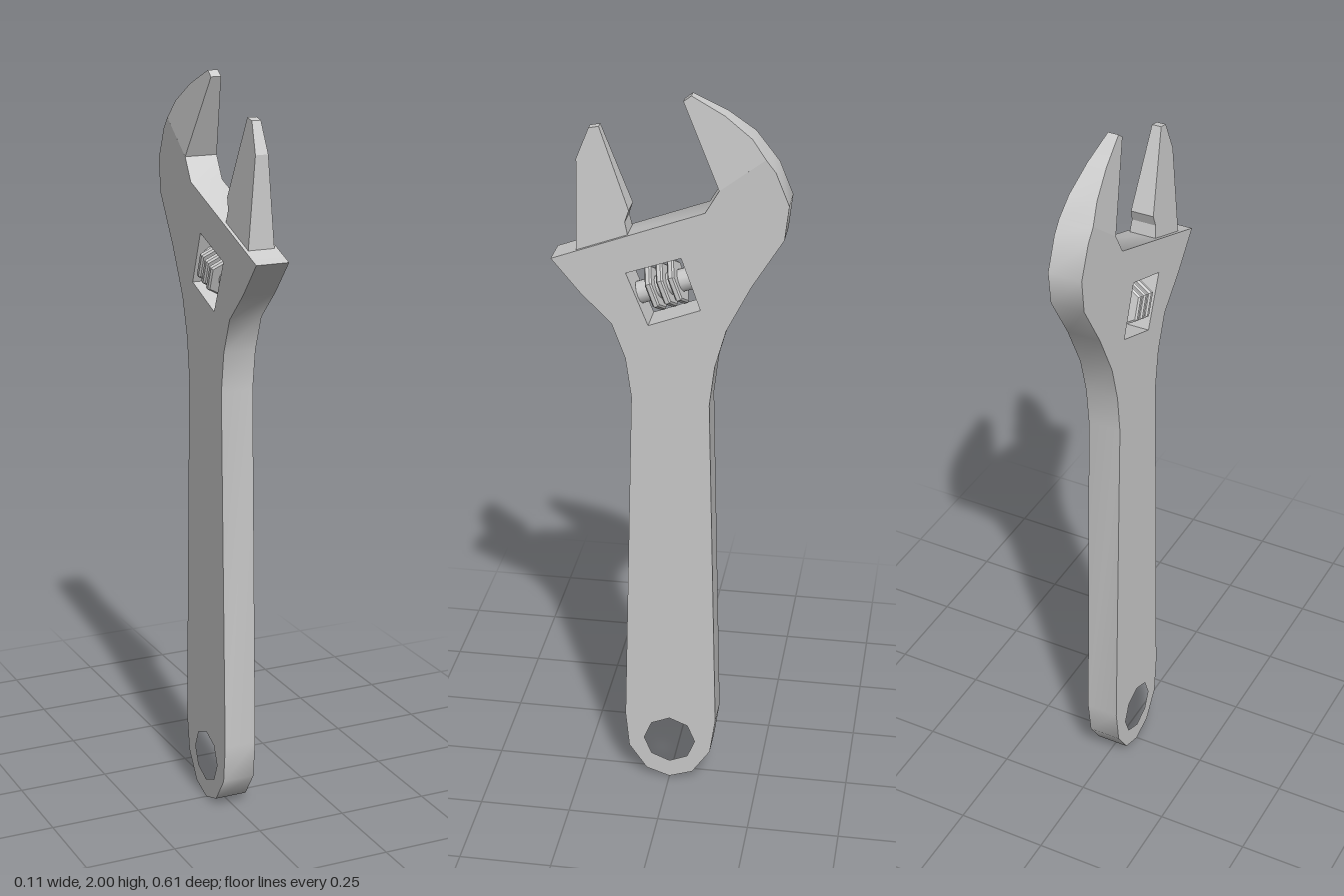
import * as THREE from 'three';
import { toCreasedNormals } from 'three/addons/utils/BufferGeometryUtils.js';

const HALF = 0.045; // half thickness of the forged body
const steel = new THREE.MeshStandardMaterial({ color: 0xcccccc });
const facetedSteel = new THREE.MeshStandardMaterial({ color: 0xcccccc, flatShading: true });

const toPoints = (pairs) => pairs.map(([z, y]) => new THREE.Vector2(z, y));

// Extrudes a (z, y) outline across x; halfAt(z, y) gives the half thickness at each point.
function plate(name, outline, holes, halfAt, crease) {
  const shape = new THREE.Shape(toPoints(outline));
  for (const hole of holes) shape.holes.push(new THREE.Path(toPoints(hole)));
  const geo = new THREE.ExtrudeGeometry(shape, { depth: 2, bevelEnabled: false });
  geo.translate(0, 0, -1);
  const pos = geo.attributes.position;
  for (let i = 0; i < pos.count; i++) {
    pos.setZ(i, Math.sign(pos.getZ(i)) * halfAt(pos.getX(i), pos.getY(i)));
  }
  geo.rotateY(-Math.PI / 2);
  const mesh = new THREE.Mesh(toCreasedNormals(geo, crease), steel);
  mesh.name = name;
  return mesh;
}

export function createModel() {
  const wrench = new THREE.Group();
  wrench.name = 'adjustableWrench';

  // Handle and head, up to the fold where the fixed jaw starts to taper
  const bodyOutline = [
    [0, 0], [-0.065, 0.022], [-0.115, 0.095], [-0.13, 0.2],
    [-0.105, 1.18], [-0.118, 1.29], [-0.147, 1.395], [-0.21, 1.52],
    [-0.29, 1.65], [-0.3, 1.74], [-0.265, 1.825], [-0.24, 1.857],
    [-0.125, 1.77], [-0.09, 1.71], [0.305, 1.565],
    [0.23, 1.475], [0.15, 1.395], [0.115, 1.3], [0.1, 1.19],
    [0.125, 0.2], [0.115, 0.095], [0.065, 0.022],
  ];
  const hangHole = [];
  for (let i = 0; i < 8; i++) {
    const a = (i / 8) * Math.PI * 2;
    hangHole.push([0.072 * Math.sin(a), 0.125 + 0.072 * Math.cos(a)]);
  }
  const screwWindow = [[0.112, 1.537], [-0.03, 1.586], [-0.08, 1.447], [0.055, 1.396]];
  wrench.add(plate('body', bodyOutline, [hangHole, screwWindow], () => HALF, 0.7));

  // Fixed jaw, thinning in a plane towards the tip
  const fixedJawOutline = [
    [-0.125, 1.77], [-0.24, 1.857], [-0.205, 1.905], [-0.135, 1.957],
    [-0.05, 2], [-0.03, 1.985],
  ];
  wrench.add(plate('fixedJaw', fixedJawOutline, [],
    (z, y) => Math.min(HALF, HALF - 0.108 * (0.75 * (z + 0.125) + y - 1.77)), 0.7));

  // Sliding jaw, thinning with its height above the slanted slide
  const slideY = (z) => 1.71 - 0.367 * (z + 0.09);
  const slidingJawOutline = [
    [0.24, 1.575], [0.105, 1.625], [0.115, 1.67], [0.105, 1.7],
    [0.182, 1.91], [0.208, 1.905], [0.24, 1.825],
  ];
  wrench.add(plate('slidingJaw', slidingJawOutline, [],
    (z, y) => 0.036 - 0.078 * (y - slideY(z)), 0.3));

  // Adjusting screw: six-sided ribs on a pin lying parallel to the slide
  const screw = new THREE.Group();
  screw.name = 'adjustingScrew';
  const pin = new THREE.Mesh(new THREE.CylinderGeometry(0.03, 0.03, 0.148, 12), steel);
  pin.name = 'screwPin';
  screw.add(pin);
  const ribProfile = [[0, -0.009], [0.058, -0.009], [0.0635, -0.005],
    [0.0635, 0.005], [0.058, 0.009], [0, 0.009]];
  const ribGeo = new THREE.LatheGeometry(toPoints(ribProfile), 6);
  for (const offset of [-0.031, 0, 0.031]) {
    const rib = new THREE.Mesh(ribGeo, facetedSteel);
    rib.name = 'screwRib';
    rib.position.y = offset;
    screw.add(rib);
  }
  screw.position.set(0, 1.494, 0.014);
  screw.rotation.x = Math.PI / 2 + Math.atan(0.367);
  wrench.add(screw);

  return wrench;
}
